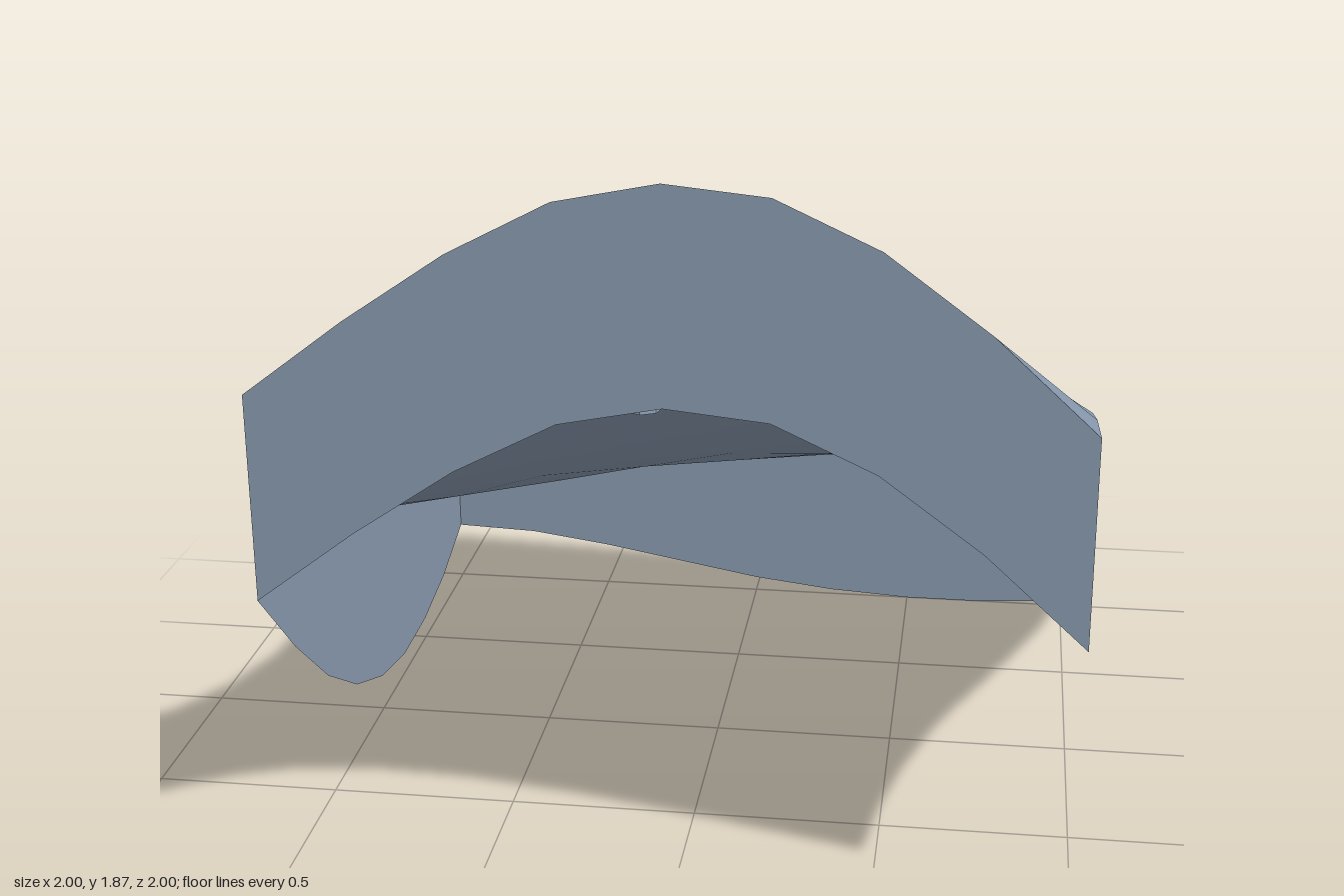
import * as THREE from 'three';

// Edge heights of the terrain patch, sampled every 0.25 from -1 to 1
const FRONT = [1.33, 1.52, 1.69, 1.82, 1.87, 1.845, 1.73, 1.545, 1.315];
const BACK = [0.715, 0.705, 0.67, 0.625, 0.58, 0.55, 0.535, 0.535, 0.55];
const LEFT = [0.55, 0.64, 0.755, 0.875, 1.0, 1.11, 1.2, 1.27, 1.315];
const RIGHT = [0.715, 0.64, 0.6, 0.595, 0.64, 0.735, 0.885, 1.09, 1.33];
const DEPTH = 0.53;
const SEGMENTS = 8;

function sample(edge, t) {
  const s = THREE.MathUtils.clamp((t + 1) * 4, 0, 8);
  const i = Math.min(7, Math.floor(s));
  return THREE.MathUtils.lerp(edge[i], edge[i + 1], s - i);
}

// Blend the four edges across the patch, with a shallow dip in the middle
function height(x, z) {
  const { lerp } = THREE.MathUtils;
  const u = (x + 1) / 2, v = (z + 1) / 2;
  const along = lerp(sample(BACK, x), sample(FRONT, x), v);
  const across = lerp(sample(RIGHT, z), sample(LEFT, z), u);
  const corners = lerp(lerp(BACK[0], BACK[8], u), lerp(FRONT[0], FRONT[8], u), v);
  const dip = (1 - x * x) * (1 - z * z) * (0.138 - 0.1 * x - 0.05 * z);
  return along + across - corners - dip;
}

export function createModel() {
  const group = new THREE.Group();
  const slate = new THREE.MeshStandardMaterial({ color: 0x8899ae, side: THREE.DoubleSide });
  slate.name = 'slateBlue';
  const add = (name, geometry) => {
    const mesh = new THREE.Mesh(geometry, slate);
    mesh.name = name;
    group.add(mesh);
    return mesh;
  };

  // Rolling top surface
  const ground = new THREE.PlaneGeometry(2, 2, SEGMENTS, SEGMENTS).rotateX(-Math.PI / 2);
  const p = ground.attributes.position;
  for (let i = 0; i < p.count; i++) p.setY(i, height(p.getX(i), p.getZ(i)));
  ground.computeVertexNormals();
  add('terrainSurface', ground);

  // Four skirt walls hanging from the edges, open underneath
  ['frontWall', 'leftWall', 'backWall', 'rightWall'].forEach((name, k) => {
    const wall = new THREE.PlaneGeometry(2, 2, SEGMENTS, 1);
    wall.translate(0, 0, 1).rotateY(k * Math.PI / 2);
    const q = wall.attributes.position;
    for (let i = 0; i < q.count; i++) {
      const top = height(q.getX(i), q.getZ(i));
      q.setY(i, q.getY(i) > 0 ? top : top - DEPTH);
    }
    add(name, wall);
  });

  // Two small faceted spikes standing on the ground
  [[-0.17, 1.07, 0.245], [-0.5, 0.605, -0.5]].forEach(([x, y, z], i) => {
    const cone = new THREE.ConeGeometry(0.053, 0.22, 7).translate(0, 0.11, 0).toNonIndexed();
    cone.computeVertexNormals();
    add('spike' + (i + 1), cone).position.set(x, y, z);
  });

  return group;
}
